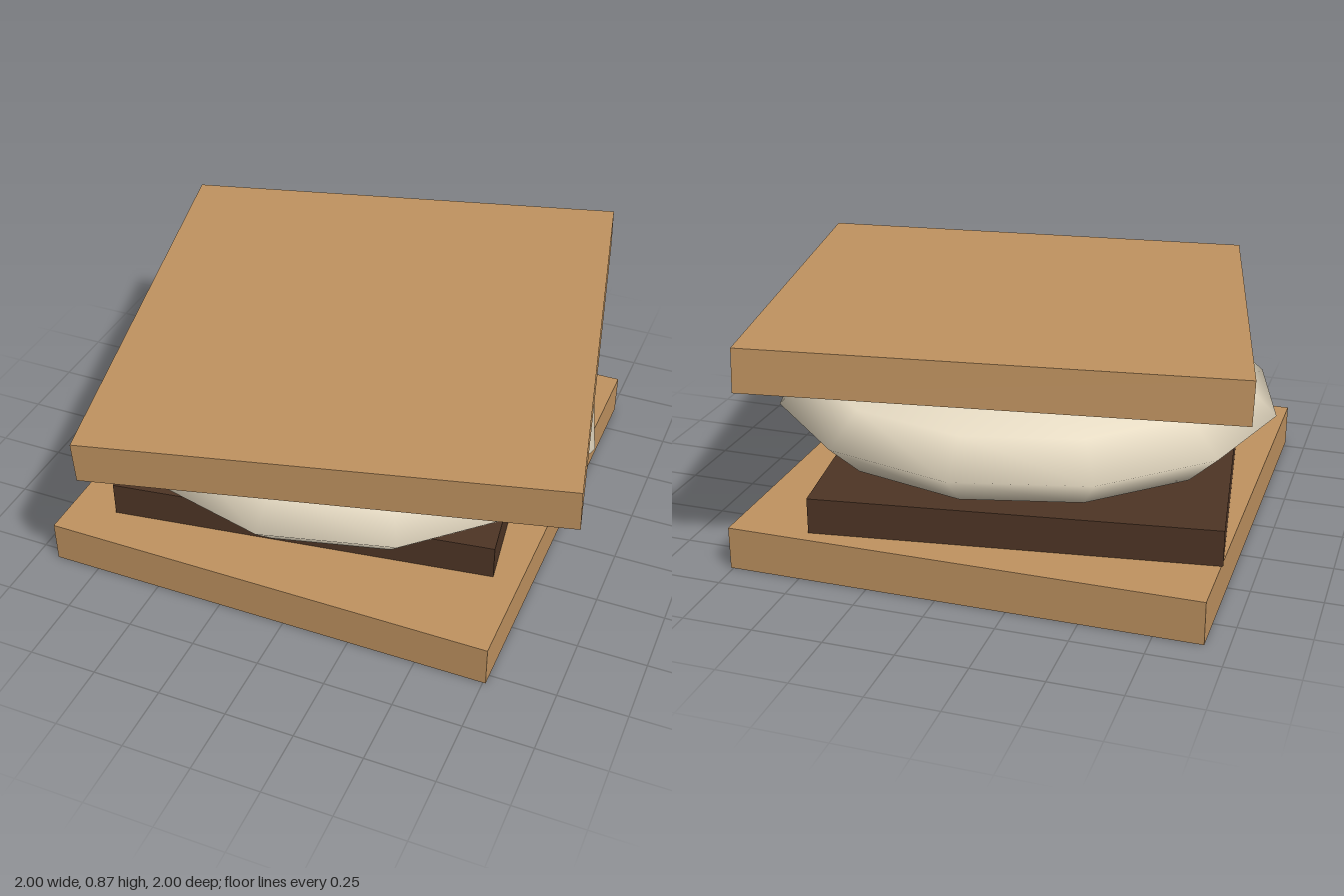
import * as THREE from 'three';

function material(name, color) {
  const m = new THREE.MeshStandardMaterial({ color });
  m.name = name;
  return m;
}

export function createModel() {
  const biscuit = material('biscuit', 0xc09360);
  const chocolate = material('chocolate', 0x4e3525);
  const cream = material('marshmallow cream', 0xf2e6cd);

  const group = new THREE.Group();
  group.name = 'marshmallowSandwich';

  function add(name, geometry, mat, x, y, z) {
    const mesh = new THREE.Mesh(geometry, mat);
    mesh.name = name;
    mesh.position.set(x, y, z);
    group.add(mesh);
    return mesh;
  }

  // Two equal square crackers
  const cracker = new THREE.BoxGeometry(1.68, 0.155, 1.68);
  add('bottomCracker', cracker, biscuit, -0.08, 0.0775, -0.05);

  // Chocolate slab, turned slightly
  const slab = add('chocolateSlab', new THREE.BoxGeometry(1.42, 0.13, 1.29), chocolate, -0.132, 0.22, -0.1);
  slab.rotation.y = 0.141;

  // Squashed low-poly marshmallow with smooth shading
  const puff = add('marshmallow', new THREE.SphereGeometry(1, 12, 6), cream, -0.055, 0.455, -0.025);
  puff.scale.set(0.93, 0.23, 0.88);

  // Top cracker, turned and tilted
  const lid = add('topCracker', cracker, biscuit, 0, 0.74, 0);
  lid.rotation.set(0.036, 0.21, 0.027, 'YXZ');

  return group;
}
